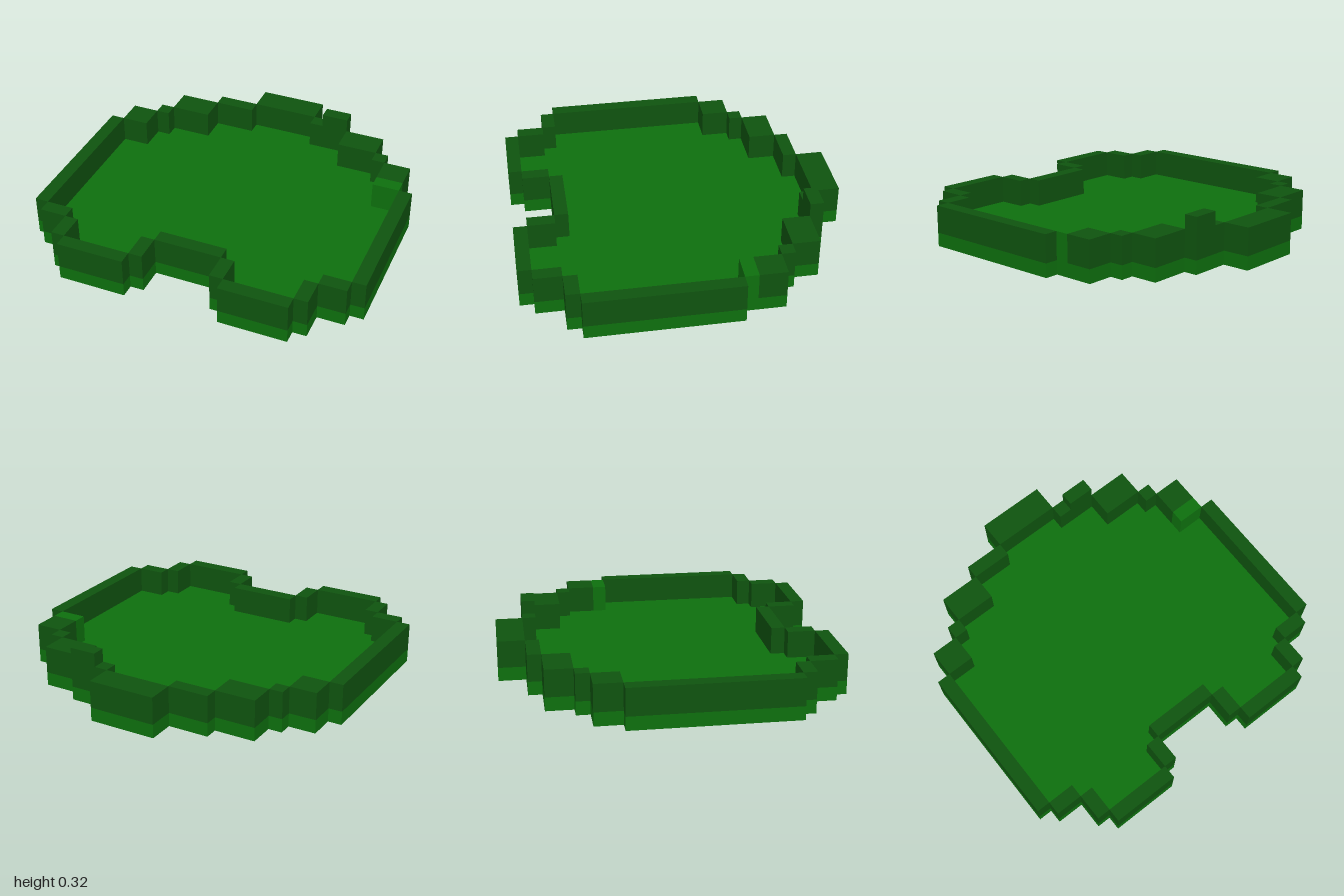
import * as THREE from 'three';

export function createModel() {
  const model = new THREE.Group();
  model.name = 'steppedTray';
  const floorGreen = new THREE.MeshStandardMaterial({ color: 0x0e700e });
  floorGreen.name = 'brightGreen';
  const wallGreen = new THREE.MeshStandardMaterial({ color: 0x0f540f });
  wallGreen.name = 'darkGreen';

  const FLOOR = 0.08, RIM = 0.24;

  // Box given by its extents
  function block(name, material, x0, x1, z0, z1, y0 = FLOOR, y1 = RIM) {
    const mesh = new THREE.Mesh(new THREE.BoxGeometry(x1 - x0, y1 - y0, z1 - z0), material);
    mesh.position.set((x0 + x1) / 2, (y0 + y1) / 2, (z0 + z1) / 2);
    mesh.name = name;
    model.add(mesh);
  }

  // Floor slab: one half of the stepped outline from back to front, mirrored;
  // the shoulder step sits at a different depth on each side
  const half = (shoulder) => [
    [0.2, -0.96], [0.2, -0.8], [0.44, -0.8], [0.44, -0.72], [0.68, -0.72], [0.68, -0.56],
    [0.76, -0.56], [0.76, -0.48], [0.92, -0.48], [0.92, shoulder], [1, shoulder],
    [1, 0.64], [0.92, 0.64], [0.92, 0.72], [0.76, 0.72], [0.76, 0.88], [0.68, 0.88],
    [0.68, 0.96], [0.28, 0.96], [0.28, 0.88], [0.2, 0.88], [0.2, 0.72],
  ];
  const outline = [...half(-0.24), ...half(-0.32).reverse().map(([x, z]) => [-x, z])];
  const shape = new THREE.Shape(outline.map(([x, z]) => new THREE.Vector2(x, z)));
  const slab = new THREE.ExtrudeGeometry(shape, { depth: FLOOR, bevelEnabled: false });
  slab.rotateX(Math.PI / 2).translate(0, FLOOR, 0);
  const floor = new THREE.Mesh(slab, floorGreen);
  floor.name = 'floor';
  model.add(floor);

  // Wall pieces that repeat on both sides
  const sideWalls = [
    [0.2, 0.44, -0.8, -0.72],
    [0.44, 0.68, -0.72, -0.56],
    [0.68, 0.76, -0.56, -0.48],
    [0.76, 0.92, -0.48, -0.32],
    [0.76, 0.92, 0.64, 0.72],
    [0.68, 0.76, 0.72, 0.88],
    [0.28, 0.68, 0.88, 0.96],
    [0.2, 0.28, 0.72, 0.88],
  ];
  for (const [x0, x1, z0, z1] of sideWalls) {
    block('leftWall', wallGreen, x0, x1, z0, z1);
    block('rightWall', wallGreen, -x1, -x0, z0, z1);
  }

  // Centre and long side walls
  block('backWall', wallGreen, -0.2, 0.2, -0.96, -0.8);
  block('notchWall', wallGreen, -0.2, 0.2, 0.64, 0.72);
  block('leftLongWall', wallGreen, 0.92, 1, -0.24, 0.64);
  block('rightLongWall', wallGreen, -1, -0.92, -0.32, 0.64);

  // Bright block in the left wall, raised block on the back wall
  block('brightWallBlock', floorGreen, 0.76, 0.92, -0.32, -0.24);
  block('raisedBlock', wallGreen, 0.28, 0.44, -0.8, -0.72, RIM, 0.32);

  return model;
}
